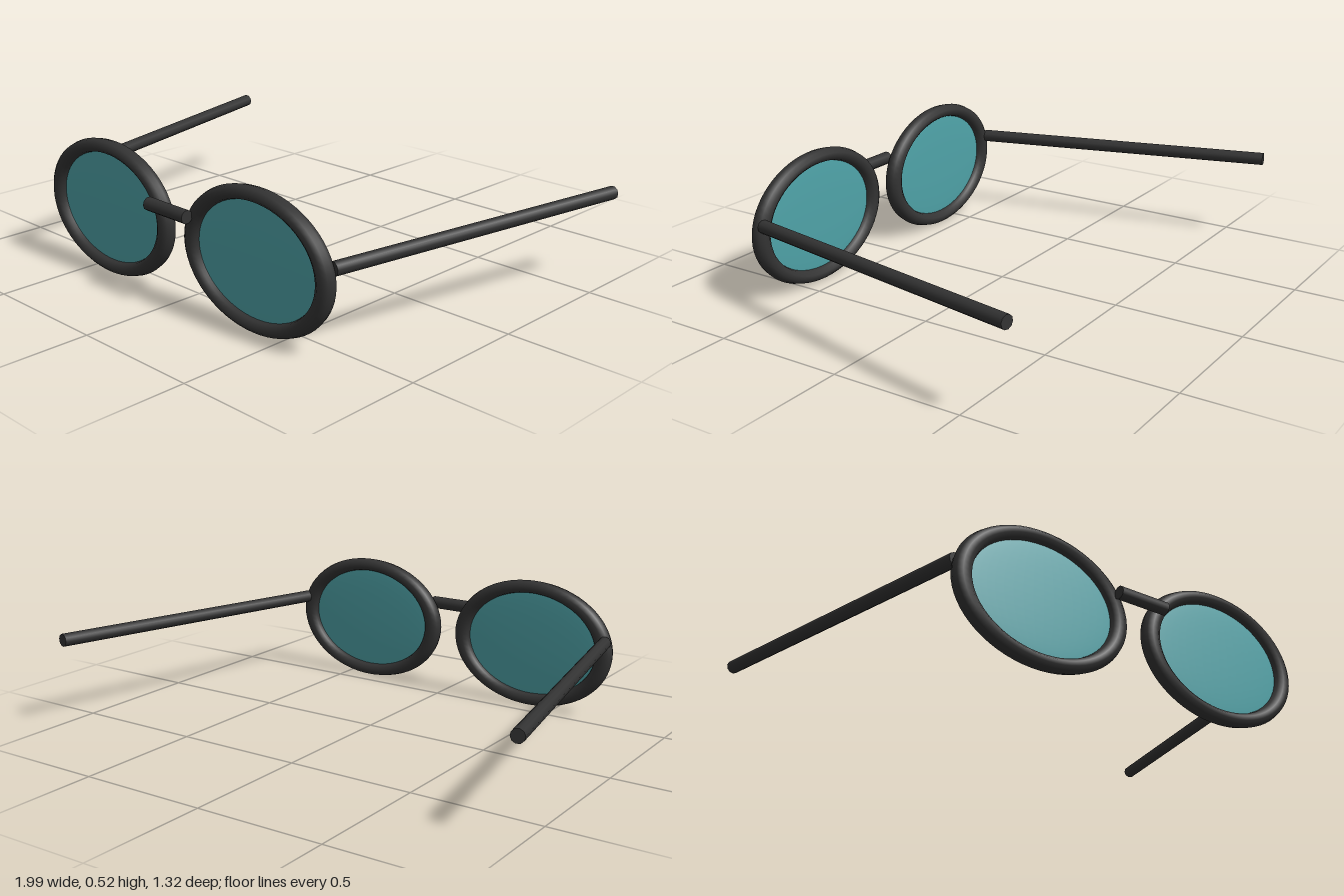
import * as THREE from 'three';

const frameMaterial = new THREE.MeshStandardMaterial({ color: 0x333333 });
const lensMaterial = new THREE.MeshStandardMaterial({ color: 0x4fa3a8 });

// Straight round bar between two points
function bar(name, from, to, radius) {
  const a = new THREE.Vector3(...from);
  const b = new THREE.Vector3(...to);
  const dir = b.clone().sub(a);
  const mesh = new THREE.Mesh(new THREE.CylinderGeometry(radius, radius, dir.length(), 10), frameMaterial);
  mesh.position.copy(a).add(b).multiplyScalar(0.5);
  mesh.quaternion.setFromUnitVectors(new THREE.Vector3(0, 1, 0), dir.normalize());
  mesh.name = name;
  return mesh;
}

export function createModel() {
  const model = new THREE.Group();
  model.name = 'glasses';

  for (const [side, s] of [['left', 1], ['right', -1]]) {
    // Oval rim: a ring stretched sideways
    const rim = new THREE.Mesh(new THREE.TorusGeometry(0.315, 0.035, 10, 64), frameMaterial);
    rim.scale.set(1, 0.737, 0.94);
    rim.position.set(s * 0.389, 0.259, 0.582);
    rim.name = side + 'Rim';

    // Slightly domed thin lens, its edge buried in the rim
    const lens = new THREE.Mesh(new THREE.SphereGeometry(1, 48, 24), lensMaterial);
    lens.scale.set(0.315, 0.232, 0.01);
    lens.position.copy(rim.position);
    lens.name = side + 'Lens';

    // Temple arm, splaying outward and rising slightly to the back
    const arm = bar(side + 'Arm', [s * 0.714, 0.315, 0.558], [s * 0.973, 0.341, -0.655], 0.025);

    model.add(rim, lens, arm);
  }

  // Bridge in front of the rims
  model.add(bar('bridge', [-0.103, 0.354, 0.635], [0.103, 0.354, 0.635], 0.025));
  return model;
}
